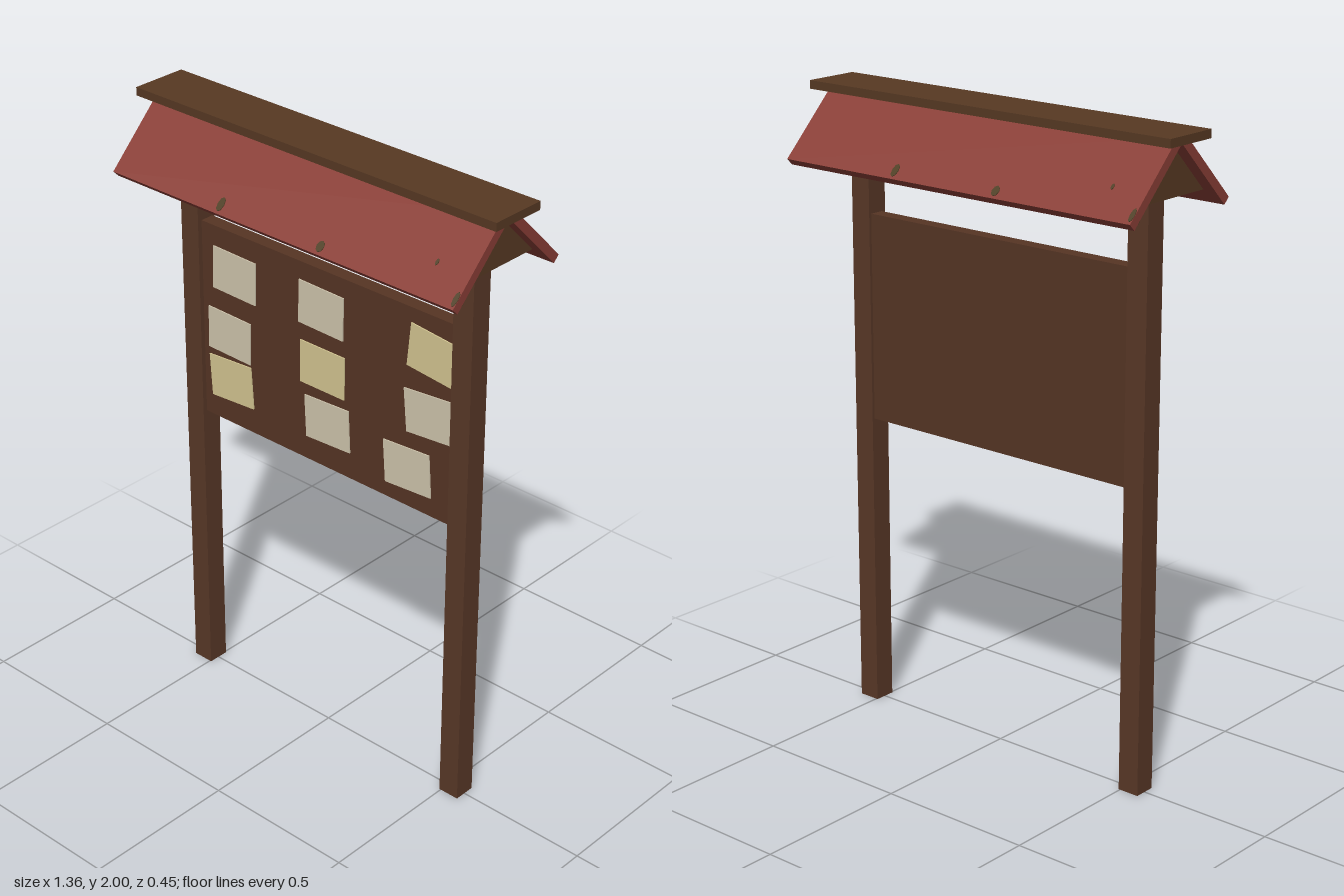
import * as THREE from 'three';

const mat = (name, color) => {
  const m = new THREE.MeshStandardMaterial({ color });
  m.name = name;
  return m;
};

export function createModel() {
  const wood = mat('post wood', 0x593827);
  const boardWood = mat('board wood', 0x563524);
  const trim = mat('ridge wood', 0x573923);
  const red = mat('red roof', 0x8a3e36);
  const moss = mat('moss', 0x4f3f24);
  const white = mat('white paper', 0xcfc5ad);
  const yellow = mat('yellow paper', 0xd4c692);

  const model = new THREE.Group();
  model.name = 'noticeBoard';

  const add = (parent, name, geometry, material, x = 0, y = 0, z = 0) => {
    const mesh = new THREE.Mesh(geometry, material);
    mesh.name = name;
    mesh.position.set(x, y, z);
    parent.add(mesh);
    return mesh;
  };
  const box = (w, h, d) => new THREE.BoxGeometry(w, h, d);

  // Posts and the gable triangles on their outer sides
  const gable = new THREE.Shape();
  gable.moveTo(-0.16, 1.81);
  gable.lineTo(0.16, 1.81);
  gable.lineTo(0, 1.97);
  const gableGeometry = new THREE.ExtrudeGeometry(gable, { depth: 0.07, bevelEnabled: false });
  gableGeometry.translate(0, 0, -0.035);
  gableGeometry.rotateY(Math.PI / 2);
  for (const side of [1, -1]) {
    const label = side > 0 ? 'left' : 'right';
    add(model, label + 'Post', box(0.07, 1.88, 0.07), wood, side * 0.53, 0.94, 0);
    add(model, label + 'Gable', gableGeometry, trim, side * 0.572, 0, 0);
  }

  // Board between the posts
  add(model, 'board', box(0.99, 0.653, 0.046), boardWood, 0, 1.2785, -0.003);

  // Pinned notes: x, y, tilt, paper
  const notes = [
    [-0.36, 1.467, -0.02, white], [-0.01, 1.475, -0.02, white], [0.415, 1.48, -0.1, yellow],
    [-0.385, 1.257, -0.02, white], [-0.005, 1.28, 0, yellow], [0.405, 1.28, 0.09, white],
    [-0.38, 1.1, 0.07, yellow], [0.015, 1.105, 0.05, white], [0.328, 1.078, 0.07, white],
  ];
  notes.forEach(([x, y, tilt, paper], i) => {
    const note = add(model, 'note' + (i + 1), box(0.175, 0.14, 0.004), paper, x, y, 0.022);
    note.rotation.z = tilt;
  });

  // Two matching roof slopes, with moss showing through near the eaves
  const mossSpots = [
    [-0.225, 0.115, 0.024, 0.045], [0.16, 0.12, 0.026, 0.035],
    [0.64, 0.115, 0.016, 0.045], [0.53, 0.04, 0.01, 0.02],
  ];
  for (const side of [1, -1]) {
    const slope = new THREE.Group();
    slope.name = side > 0 ? 'frontSlope' : 'backSlope';
    slope.rotation.y = side > 0 ? 0 : Math.PI;
    const panel = add(slope, 'roofPanel', box(1.296, 0.028, 0.29), red, 0, 1.877, 0.1125);
    panel.rotation.x = Math.PI / 4;
    for (const [x, along, w, l] of mossSpots) {
      const spot = new THREE.CylinderGeometry(0.5, 0.5, 0.032, 8);
      add(panel, 'mossSpot', spot, moss, x, 0, along).scale.set(w, 1, l);
    }
    model.add(slope);
  }

  // Ridge cap
  add(model, 'ridgeCap', box(1.356, 0.026, 0.184), trim, 0, 1.987, 0);

  return model;
}
